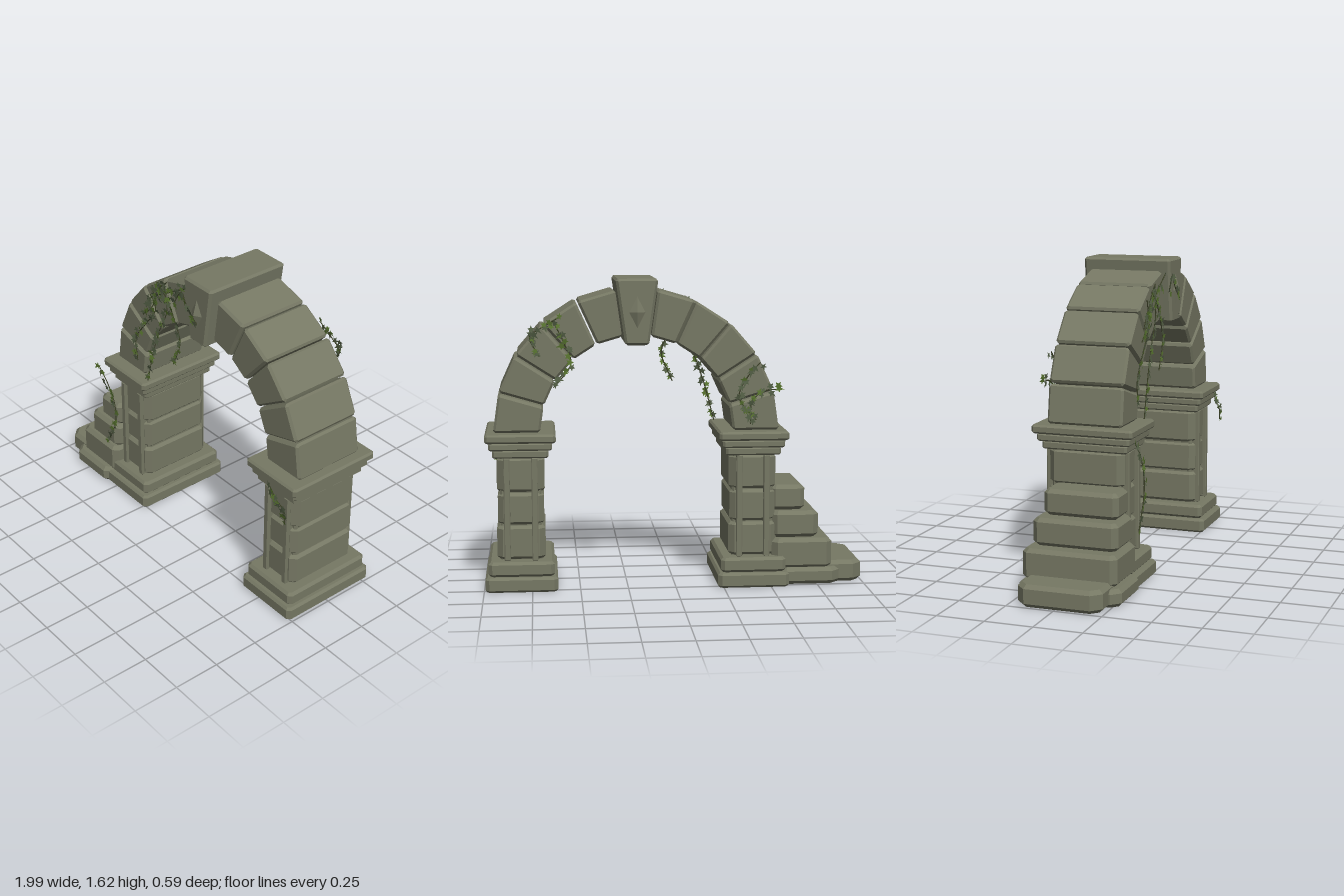
import * as THREE from 'three';
import { mergeGeometries } from 'three/addons/utils/BufferGeometryUtils.js';
import { ConvexGeometry } from 'three/addons/geometries/ConvexGeometry.js';

const ZC = -0.013; // depth centre of the arch

function material(name, color) {
  const m = new THREE.MeshStandardMaterial({ color });
  m.name = name;
  return m;
}

// Chamfered stone: half sizes w, h, d; edge chamfer c; corner chamfer p; taper(y) gives the half width
function stone(w, h, d, c = 0.012, p = c, taper = () => w) {
  const pts = [];
  for (const sx of [-1, 1]) for (const sy of [-1, 1]) for (const sz of [-1, 1]) {
    for (const [ix, iy, iz] of [[0, c, p], [p, c, 0], [c, 0, p + c * 0.4], [p + c * 0.4, 0, c]]) {
      const y = sy * (h - iy);
      pts.push(new THREE.Vector3(sx * (taper(y) - ix), y, sz * (d - iz)));
    }
  }
  return new ConvexGeometry(pts);
}

export function createModel() {
  const model = new THREE.Group();
  model.name = 'ivyStoneArch';
  const rock = material('weathered stone', 0x767864);
  const leafMats = [material('green leaf', 0x58742f), material('grey green leaf', 0x535f45)];
  const stemMat = material('ivy stem', 0x3f4429);
  leafMats.forEach((m) => { m.side = THREE.DoubleSide; });

  let seed = 7;
  const rnd = () => (seed = (seed * 16807) % 2147483647) / 2147483647;

  const add = (parent, name, geo, mat, x = 0, y = 0, z = 0) => {
    const m = new THREE.Mesh(geo, mat);
    m.name = name;
    m.position.set(x, y, z);
    parent.add(m);
    return m;
  };

  // Pillars: rows of name, half width, half depth, bottom, top, edge chamfer, corner chamfer
  const courses = [
    ['plinthLower', 0.188, 0.283, 0, 0.078, 0.012, 0.02],
    ['plinthUpper', 0.172, 0.264, 0.078, 0.156, 0.014, 0.02],
    ['shaftCore', 0.108, 0.185, 0.15, 0.71, 0.005, 0.01],
    ['shaftBlock', 0.126, 0.208, 0.16, 0.336, 0.015, 0.03],
    ['shaftBlock', 0.12, 0.203, 0.342, 0.508, 0.015, 0.03],
    ['shaftBlock', 0.124, 0.203, 0.514, 0.695, 0.015, 0.035],
    ['capitalLower', 0.145, 0.228, 0.695, 0.737, 0.008, 0.012],
    ['capitalMiddle', 0.164, 0.249, 0.737, 0.777, 0.008, 0.012],
    ['capitalTop', 0.183, 0.27, 0.777, 0.823, 0.01, 0.014],
  ];
  for (const [name, x] of [['leftPillar', 0.805], ['rightPillar', -0.407]]) {
    const pillar = new THREE.Group();
    pillar.name = name;
    pillar.position.set(x, 0, ZC);
    for (const [part, w, d, y0, y1, c, p] of courses) {
      add(pillar, part, stone(w, (y1 - y0) / 2, d, c, p), rock, 0, (y0 + y1) / 2, 0);
    }
    // Upright strips on the front and back of the shaft
    for (const sx of [-1, 1]) for (const sz of [-1, 1]) {
      add(pillar, 'shaftStrip', stone(0.016, 0.27, 0.03, 0.004), rock, sx * 0.072, 0.425, sz * 0.194);
    }
    model.add(pillar);
  }

  // Arch ring: eleven wedges, the middle one a larger keystone
  const arch = new THREE.Group();
  arch.name = 'arch';
  arch.position.set(0.2, 0.82, ZC);
  const slope = Math.tan(Math.PI / 22);
  for (let i = -5; i <= 5; i++) {
    const key = i === 0;
    const [r0, r1, d] = key ? [0.455, 0.795, 0.241] : [0.497, 0.737, 0.201];
    const mid = (r0 + r1) / 2;
    const a = (i * Math.PI) / 11;
    const geo = stone(0, (r1 - r0) / 2, d, 0.012, 0.013, (y) => (mid + y) * slope - 0.004);
    const wedge = add(arch, key ? 'keystone' : 'archStone', geo, rock, Math.sin(a) * mid, Math.cos(a) * mid, 0);
    wedge.rotation.z = -a;
  }
  // Faceted diamonds on both faces of the keystone
  for (const s of [-1, 1]) {
    const gem = add(arch, 'keystoneDiamond', new THREE.OctahedronGeometry(1), rock, 0, 0.625, s * 0.24);
    gem.scale.set(0.043, 0.085, 0.023);
  }
  model.add(arch);

  // Stepped rubble beside the right pillar: x0, x1, y0, y1, z0, z1, corner chamfer
  const steps = new THREE.Group();
  steps.name = 'steps';
  for (const [x0, x1, y0, y1, z0, z1, p] of [
    [-1, -0.72, 0, 0.115, -0.206, 0.238, 0.05],
    [-0.875, -0.54, 0, 0.09, -0.25, 0.292, 0.045],
    [-0.83, -0.51, 0.085, 0.246, -0.242, 0.258, 0.03],
    [-0.762, -0.51, 0.246, 0.388, -0.212, 0.24, 0.03],
    [-0.692, -0.51, 0.388, 0.522, -0.178, 0.218, 0.025],
  ]) {
    const geo = stone((x1 - x0) / 2, (y1 - y0) / 2, (z1 - z0) / 2, 0.02, p);
    add(steps, 'step', geo, rock, (x0 + x1) / 2, (y0 + y1) / 2, (z0 + z1) / 2);
  }
  model.add(steps);

  // Ivy leaf: five pointed lobes
  const leafShape = new THREE.Shape();
  for (let i = 0; i < 10; i++) {
    const a = (i * Math.PI) / 5 + Math.PI / 2;
    const r = i % 2 ? 0.46 : i === 0 ? 1.3 : 0.95;
    leafShape[i ? 'lineTo' : 'moveTo'](Math.cos(a) * r, Math.sin(a) * r);
  }
  const leaf = new THREE.ShapeGeometry(leafShape);

  // Ivy strands: depth, leaf count, sideways scatter, path of x, y
  const strands = [
    [0.203, 24, 0.03, [[0.1, 1.54], [0.0, 1.48], [-0.1, 1.42], [-0.2, 1.36], [-0.25, 1.28]]],
    [0.203, 26, 0.02, [[-0.2, 1.43], [-0.17, 1.3], [-0.26, 1.17], [-0.35, 1.04], [-0.34, 0.91]]],
    [0.206, 30, 0.02, [[-0.1, 1.49], [-0.07, 1.34], [-0.14, 1.18], [-0.19, 1.04], [-0.25, 0.82]]],
    [0.209, 24, 0.018, [[-0.15, 1.47], [-0.06, 1.4], [0.0, 1.3], [0.04, 1.2], [-0.02, 1.04]]],
    [0.203, 18, 0.03, [[-0.07, 1.5], [-0.15, 1.42], [-0.2, 1.3], [-0.28, 1.22]]],
    [0.243, 16, 0.02, [[0.04, 1.45], [0.1, 1.53], [0.14, 1.47], [0.22, 1.4]]],
    [0.278, 24, 0.02, [[-0.6, 0.77], [-0.53, 0.7], [-0.47, 0.6], [-0.46, 0.48], [-0.54, 0.3]]],
    [0.27, 14, 0.02, [[0.82, 0.77], [0.88, 0.71], [0.92, 0.69], [0.94, 0.61]]],
    [-0.23, 16, 0.02, [[0.6, 1.42], [0.7, 1.36], [0.75, 1.32], [0.7, 1.22]]],
    [-0.23, 18, 0.02, [[0.63, 1.4], [0.57, 1.28], [0.54, 1.18], [0.63, 1.06]]],
    [-0.23, 16, 0.02, [[-0.54, 1.04], [-0.46, 1.03], [-0.4, 0.98], [-0.39, 0.86]]],
    [-0.23, 18, 0.02, [[-0.44, 1.18], [-0.37, 1.1], [-0.33, 1.0], [-0.42, 0.88]]],
  ];
  const ivy = new THREE.Group();
  ivy.name = 'ivy';
  const leaves = [[], []];
  const stems = [];
  const dummy = new THREE.Object3D();
  for (const [z, count, scatter, path] of strands) {
    const curve = new THREE.CatmullRomCurve3(path.map(([x, y]) => new THREE.Vector3(x, y, z)));
    stems.push(new THREE.TubeGeometry(curve, 20, 0.003, 4));
    for (let i = 0; i < count; i++) {
      const t = Math.min(1, Math.max(0, (i + rnd() * 0.6) / count));
      dummy.position.copy(curve.getPointAt(t));
      const spread = scatter * (1.2 - 0.7 * t);
      dummy.position.x += (rnd() * 2 - 1) * spread;
      dummy.position.y += (rnd() * 2 - 1) * spread;
      dummy.position.z += Math.sign(z) * 0.006;
      dummy.rotation.set((rnd() - 0.5) * 0.6, (rnd() - 0.5) * 0.6, Math.PI + (rnd() - 0.5) * 3);
      dummy.scale.setScalar(0.017 + rnd() * 0.007);
      dummy.updateMatrix();
      leaves[rnd() < 0.5 ? 0 : 1].push(leaf.clone().applyMatrix4(dummy.matrix));
    }
  }
  add(ivy, 'ivyStems', mergeGeometries(stems), stemMat);
  leaves.forEach((list, i) => add(ivy, 'ivyLeaves', mergeGeometries(list), leafMats[i]));
  model.add(ivy);

  return model;
}
